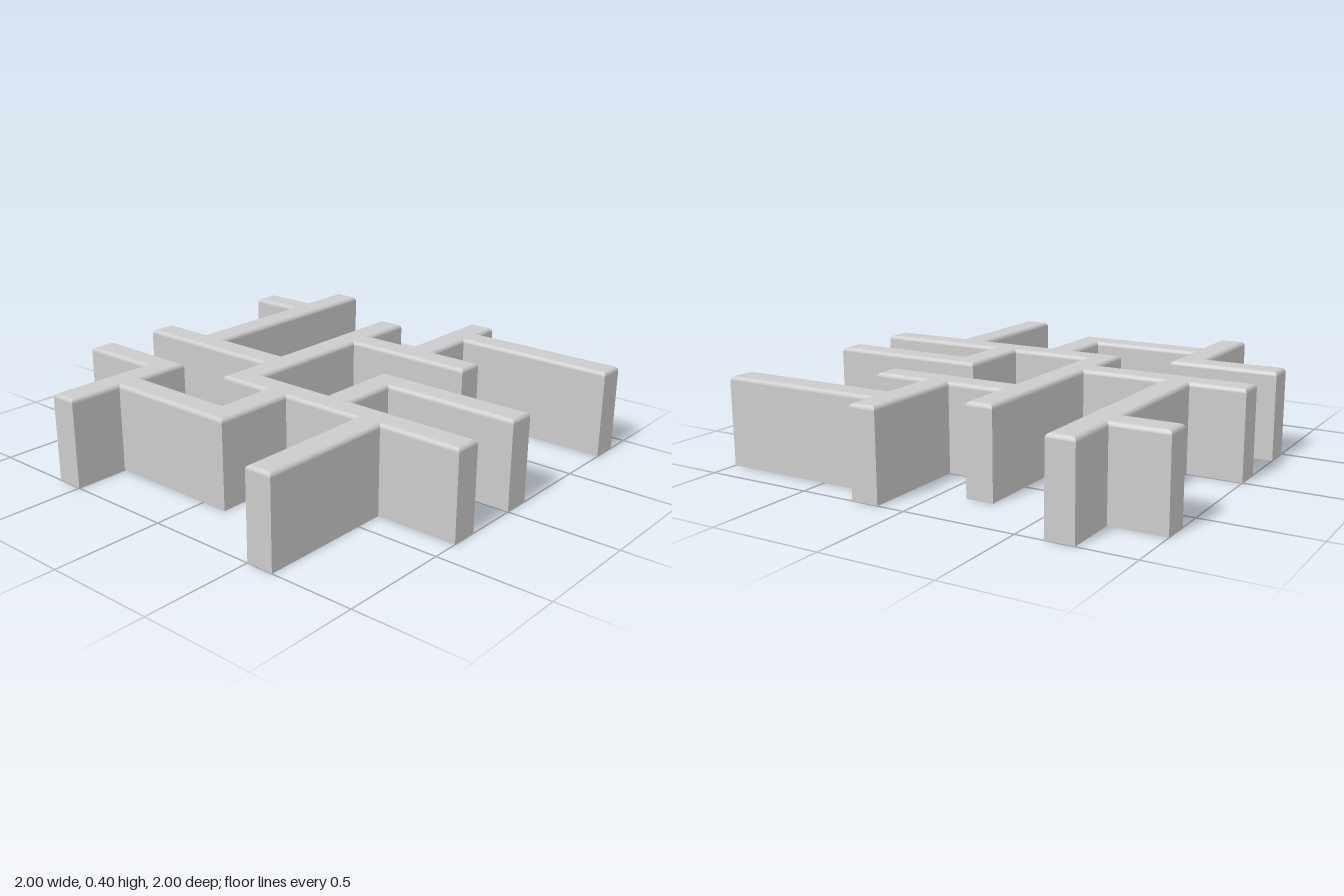
import * as THREE from 'three';

const CELL = 0.125, HEIGHT = 0.4, BEVEL = 0.02;

// Straight wall runs on a 16 x 16 grid: x0, x1, z0, z1
const RUNS = [
  [-6, -5, -8, 0], [-8, -6, -6, -5], [-8, -2, 0, 1],
  [-2, -1, -6, 3], [-1, 4, -4, -3], [1, 2, -8, -4], [2, 8, -7, -6],
  [-2, 8, 2, 3], [2, 3, -1, 2], [2, 8, -1, 0], [4, 5, 3, 8],
  [0, 1, 3, 6], [-4, 1, 5, 6], [-5, -4, 3, 8], [-8, -4, 3, 4],
];

// Walk once around the joined runs and return the corners with their side directions
function traceOutline() {
  const cells = new Set();
  for (const [x0, x1, z0, z1] of RUNS)
    for (let x = x0; x < x1; x++)
      for (let z = z0; z < z1; z++) cells.add(`${x},${z}`);

  const next = new Map();
  for (const key of cells) {
    const [x, z] = key.split(',').map(Number);
    const ring = [[x, z], [x + 1, z], [x + 1, z + 1], [x, z + 1]];
    const beside = [[x, z - 1], [x + 1, z], [x, z + 1], [x - 1, z]];
    beside.forEach((b, i) => {
      if (!cells.has(b.join())) next.set(ring[i].join(), ring[(i + 1) % 4]);
    });
  }

  const start = [-8, 0];
  const points = [];
  let p = start;
  do {
    points.push(new THREE.Vector2(...p));
    p = next.get(p.join());
  } while (p.join() !== start.join());

  // Keep only true corners
  const n = points.length;
  return points.filter((q, i) => {
    const a = points[(i + n - 1) % n], b = points[(i + 1) % n];
    return (q.x - a.x) * (b.y - q.y) !== (q.y - a.y) * (b.x - q.x);
  }).map((q) => q.multiplyScalar(CELL));
}

export function createModel() {
  const group = new THREE.Group();
  group.name = 'mazeWalls';
  const material = new THREE.MeshStandardMaterial({ color: 0xcccccc, side: THREE.DoubleSide });

  const corners = traceOutline();
  const count = corners.length;
  // Outward direction of each side
  const outward = corners.map((c, i) => {
    const d = corners[(i + 1) % count].clone().sub(c).normalize();
    return new THREE.Vector2(d.y, -d.x);
  });
  // Mitred inset of a corner
  const inset = (i, amount) => corners[i].clone()
    .addScaledVector(outward[i], -amount)
    .addScaledVector(outward[(i + count - 1) % count], -amount);

  // Cross-section from the open foot up over the rounded top edge: inset, height, tilt
  const section = [[0, 0, 0]];
  for (let k = 0; k <= 4; k++) {
    const t = (k / 4) * Math.PI / 2;
    section.push([BEVEL * (1 - Math.cos(t)), HEIGHT - BEVEL * (1 - Math.sin(t)), t]);
  }

  // Sides, crisp at the upright corners and smooth over the top edge
  const positions = [], normals = [], indices = [];
  for (let i = 0; i < count; i++) {
    const base = positions.length / 3;
    section.forEach(([amount, y, tilt], k) => {
      for (const j of [i, (i + 1) % count]) {
        const p = inset(j, amount);
        positions.push(p.x, y, p.y);
        normals.push(outward[i].x * Math.cos(tilt), Math.sin(tilt), outward[i].y * Math.cos(tilt));
      }
      if (k === 0) return;
      const a = base + 2 * (k - 1);
      indices.push(a, a + 2, a + 1, a + 1, a + 2, a + 3);
    });
  }
  const sideGeometry = new THREE.BufferGeometry();
  sideGeometry.setAttribute('position', new THREE.Float32BufferAttribute(positions, 3));
  sideGeometry.setAttribute('normal', new THREE.Float32BufferAttribute(normals, 3));
  sideGeometry.setIndex(indices);
  const sides = new THREE.Mesh(sideGeometry, material);
  sides.name = 'wallSides';

  // Flat top
  const shape = new THREE.Shape(corners.map((c, i) => {
    const p = inset(i, BEVEL);
    return new THREE.Vector2(p.x, -p.y);
  }));
  const top = new THREE.Mesh(new THREE.ShapeGeometry(shape).rotateX(-Math.PI / 2), material);
  top.position.y = HEIGHT;
  top.name = 'wallTop';

  group.add(sides, top);
  return group;
}
